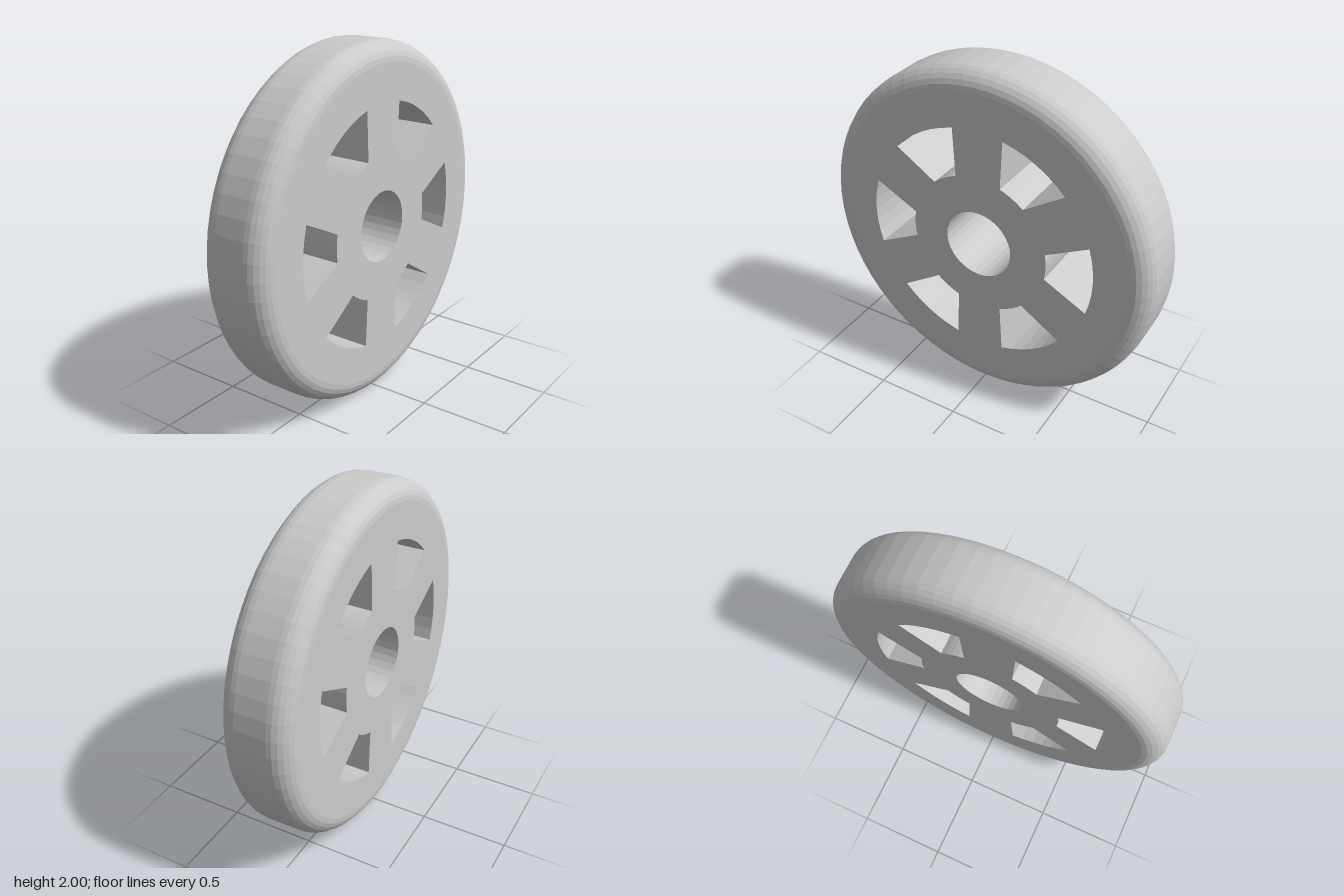
import * as THREE from 'three';

const HALF = 0.2, FILLET = 0.11, SIDES = 64;
const BORE = 0.2, WINDOWS = 6;
const INNER = 0.413, OUTER = 0.685;
const INNER_ANGLE = THREE.MathUtils.degToRad(11), OUTER_ANGLE = THREE.MathUtils.degToRad(17.5);

// n + 1 points along an arc about the axle
const arc = (r, a0, a1, n) => Array.from({ length: n + 1 }, (_, i) => {
  const a = a0 + (a1 - a0) * i / n;
  return new THREE.Vector2(r * Math.cos(a), r * Math.sin(a));
});
const circle = (r, n) => arc(r, 0, Math.PI * 2, n).slice(0, -1);

// Wall lining an anticlockwise outline through the wheel, facing inwards
function holeWall(loop) {
  const pos = [];
  loop.forEach((a, i) => {
    const b = loop[(i + 1) % loop.length];
    pos.push(a.x, a.y, -HALF, a.x, a.y, HALF, b.x, b.y, HALF);
    pos.push(a.x, a.y, -HALF, b.x, b.y, HALF, b.x, b.y, -HALF);
  });
  const g = new THREE.BufferGeometry();
  g.setAttribute('position', new THREE.Float32BufferAttribute(pos, 3));
  g.computeVertexNormals();
  return g;
}

export function createModel() {
  const wheel = new THREE.Group();
  wheel.name = 'wheel';
  const material = new THREE.MeshStandardMaterial({ color: 0xcccccc, flatShading: true });
  const add = (name, geometry) => {
    const mesh = new THREE.Mesh(geometry, material);
    mesh.name = name;
    mesh.position.y = 1;
    wheel.add(mesh);
    return mesh;
  };

  // Tread with rounded shoulders
  const profile = [];
  for (const side of [-1, 1]) {
    for (let i = 0; i <= 6; i++) {
      const a = (side < 0 ? i - 6 : i) / 6 * Math.PI / 2;
      profile.push(new THREE.Vector2(
        1 - FILLET + FILLET * Math.cos(a),
        side * (HALF - FILLET) + FILLET * Math.sin(a)));
    }
  }
  add('tread', new THREE.LatheGeometry(profile, SIDES).rotateX(Math.PI / 2));

  // Axle bore
  const bore = circle(BORE, 32);
  add('axleBore', holeWall(bore));

  // Windows between the six spokes
  const loops = [bore];
  for (let i = 0; i < WINDOWS; i++) {
    const a = i * Math.PI * 2 / WINDOWS;
    const loop = [
      ...arc(OUTER, a - OUTER_ANGLE, a + OUTER_ANGLE, 6),
      ...arc(INNER, a + INNER_ANGLE, a - INNER_ANGLE, 4),
    ];
    loops.push(loop);
    add('spokeWindow' + (i + 1), holeWall(loop));
  }

  // Flat front and back faces pierced by all the holes
  const face = new THREE.Shape(circle(1 - FILLET, SIDES));
  face.holes = loops.map(l => new THREE.Path(l));
  add('frontFace', new THREE.ShapeGeometry(face)).position.z = HALF;
  add('backFace', new THREE.ShapeGeometry(face).rotateY(Math.PI)).position.z = -HALF;

  return wheel;
}
